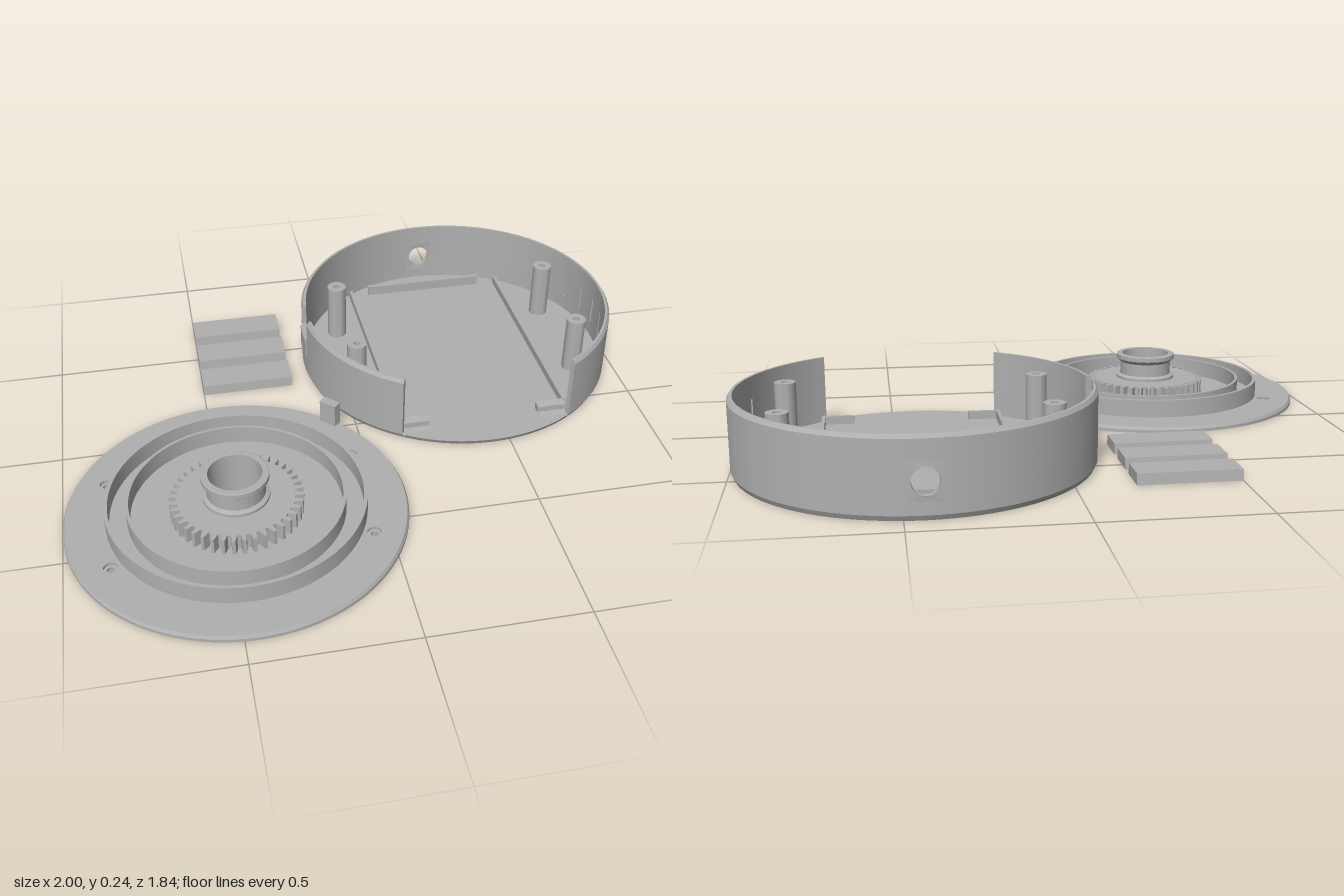
import * as THREE from 'three';
import { toCreasedNormals, mergeVertices } from 'three/addons/utils/BufferGeometryUtils.js';

const grey = new THREE.MeshStandardMaterial({ color: 0xb0b0b0 });
grey.name = 'grey plastic';

function add(parent, name, geometry, x = 0, y = 0, z = 0) {
  const mesh = new THREE.Mesh(toCreasedNormals(geometry, 0.5), grey);
  mesh.name = name;
  mesh.position.set(x, y, z);
  parent.add(mesh);
  return mesh;
}

// Move every vertex of a geometry by a rule
function warp(geometry, rule) {
  const p = geometry.attributes.position;
  for (let i = 0; i < p.count; i++) p.setXYZ(i, ...rule(p.getX(i), p.getY(i), p.getZ(i)));
  return geometry;
}

const circle = (r, x = 0, y = 0) => new THREE.Path().absarc(x, y, r, 0, Math.PI * 2, true);

// Flat plate standing on y = 0, from a plan outline drawn in (x, -z)
function plate(shape, height, curveSegments = 48) {
  const g = new THREE.ExtrudeGeometry(shape, { depth: height, bevelEnabled: false, curveSegments });
  return g.rotateX(-Math.PI / 2);
}

function disc(radius, height, holes) {
  const s = new THREE.Shape().absarc(0, 0, radius, 0, Math.PI * 2, false);
  s.holes.push(...holes);
  return plate(s, height);
}

// Pull in the rim vertices of a disc at one height to make a chamfer
function chamfer(geometry, radius, level, inset) {
  return warp(geometry, (x, y, z) => {
    const r = Math.hypot(x, z);
    const k = r > radius - 0.01 && Math.abs(y - level) < 0.001 ? (r - inset) / r : 1;
    return [x * k, y, z * k];
  });
}

// Closed (radius, height) profile swept around y between two angles (0 = +x, quarter turn = +z)
function sweep(profile, a0, a1) {
  const s = new THREE.Shape(profile.map(([r, y]) => new THREE.Vector2(r, y)));
  const steps = Math.max(1, Math.ceil((a1 - a0) / 0.065));
  const g = new THREE.ExtrudeGeometry(s, { depth: a1 - a0, steps, bevelEnabled: false });
  return warp(g, (r, y, t) => [r * Math.cos(a0 + t), y, r * Math.sin(a0 + t)]);
}

function turned(profile) {
  return new THREE.LatheGeometry(profile.map(([r, y]) => new THREE.Vector2(r, y)), 72);
}

function ring(outer, inner, height) {
  return turned([[outer, 0], [outer, height], [inner, height], [inner, 0]]);
}

const screwSpots = [[-0.402, -0.193], [0.402, -0.193], [-0.402, 0.193], [0.402, 0.193]];
const screwHoles = r => screwSpots.map(([x, z]) => circle(r, x, -z));

function makeCase() {
  const box = new THREE.Group();
  box.name = 'case';
  const R = 0.56, IN = 0.543, FLOOR = 0.016, TOP = 0.24;

  add(box, 'caseFloor', chamfer(disc(R, FLOOR, screwHoles(0.012)), R, 0, 0.008));

  const wall = (a0, a1, y0 = FLOOR, y1 = TOP) => {
    const top = y1 === TOP ? [[R, y1 - 0.012], [R - 0.008, y1]] : [[R, y1]];
    add(box, 'caseWall', sweep([[IN, y0], [R, y0], ...top, [IN, y1]], a0, a1));
  };

  // Wall runs around the back, leaving the front open
  const start = Math.PI / 2 + 0.565, end = Math.PI * 2.5 - 0.555;
  const cuts = [
    { a: Math.PI, h: 0.1, y0: 0.165, y1: TOP },
    { a: Math.PI * 1.5, h: 0.09, y0: 0.05, y1: 0.17, round: true },
    ...[-0.2, -0.1, 0, 0.1, 0.2].map(z => (
      { a: Math.PI * 2 + Math.asin(z / R), h: 0.009, y0: 0.07, y1: 0.167 })),
  ];
  let at = start;
  for (const c of cuts) {
    wall(at, c.a - c.h);
    wall(c.a - c.h, c.a + c.h, FLOOR, c.y0);
    if (c.y1 < TOP) wall(c.a - c.h, c.a + c.h, c.y1, TOP);
    if (c.round) {
      // Panel with the round cable hole, bent to the wall
      const w = c.h * R;
      const s = new THREE.Shape([[-w, c.y0], [w, c.y0], [w, c.y1], [-w, c.y1]]
        .map(p => new THREE.Vector2(...p)));
      s.holes.push(circle(0.04, 0, 0.11));
      const g = new THREE.ExtrudeGeometry(s, { depth: R - IN, bevelEnabled: false, curveSegments: 32 });
      add(box, 'cableHolePanel', warp(g, (x, y, d) => {
        const t = c.a + x / R;
        return [(R - d) * Math.cos(t), y, (R - d) * Math.sin(t)];
      }));
    }
    at = c.a + c.h;
  }
  wall(at, end);

  // Small latch bump below the notch
  add(box, 'latchBump', sweep([[R - 0.005, 0.085], [R + 0.005, 0.09], [R + 0.005, 0.16], [R - 0.005, 0.165]],
    Math.PI - 0.09, Math.PI + 0.09));

  for (const [x, z] of screwSpots) {
    add(box, 'screwPost', ring(0.034, 0.012, 0.205), x, FLOOR - 0.001, z);
  }

  // Guide rails on the floor
  for (const s of [-1, 1]) {
    add(box, 'sideRail', new THREE.BoxGeometry(0.012, 0.03, 0.86), s * 0.297 - 0.003, 0.03, -0.005);
    // Sloped catch at the open end
    const c = new THREE.Shape([[-0.48, 0], [-0.445, 0.004], [-0.445, 0.024], [-0.415, 0.028], [-0.415, 0]]
      .map(p => new THREE.Vector2(...p)));
    const g = new THREE.ExtrudeGeometry(c, { depth: 0.1, bevelEnabled: false });
    g.rotateY(Math.PI / 2);
    add(box, 'frontCatch', g, s * 0.245 - 0.053, FLOOR - 0.001, 0);
  }
  add(box, 'rearRail', new THREE.BoxGeometry(0.45, 0.038, 0.016), -0.003, 0.034, -0.443);

  box.position.set(0.44, 0, -0.365);
  return box;
}

function makeLid() {
  const lid = new THREE.Group();
  lid.name = 'lid';
  const R = 0.543, BASE = 0.02, BORE = 0.085;

  // Two layers give the screw holes their wider heads
  add(lid, 'lidLower', disc(R, 0.01, [circle(BORE), ...screwHoles(0.012)]));
  add(lid, 'lidUpper', chamfer(disc(R, 0.01, [circle(BORE), ...screwHoles(0.022)]), R, 0.01, 0.006), 0, 0.01, 0);

  add(lid, 'outerRing', ring(0.412, 0.4, 0.061), 0, BASE - 0.001, 0);
  add(lid, 'innerRing', ring(0.345, 0.335, 0.061), 0, BASE - 0.001, 0);

  // Toothed gear
  const pts = [], teeth = 40;
  for (let i = 0; i < teeth; i++) {
    for (const [f, r] of [[-0.32, 0.186], [-0.16, 0.212], [0.16, 0.212], [0.32, 0.186]]) {
      const a = (i + f) / teeth * Math.PI * 2;
      pts.push(new THREE.Vector2(r * Math.cos(a), r * Math.sin(a)));
    }
  }
  const gear = new THREE.Shape(pts);
  gear.holes.push(circle(BORE));
  add(lid, 'gear', plate(gear, 0.055), 0, BASE - 0.001, 0);

  // Hollow hub with a flared lip
  add(lid, 'hub', turned([[0.106, 0.07], [0.106, 0.084], [0.093, 0.09], [0.093, 0.135], [0.107, 0.148],
    [0.107, 0.163], [0.104, 0.165], [BORE, 0.165], [BORE, 0.07]]));

  // Upright clip at the rim
  const clip = add(lid, 'rimClip', new THREE.BoxGeometry(0.032, 0.085, 0.062), 0.367, BASE + 0.04, -0.383);
  clip.rotation.y = Math.PI / 4;

  lid.position.set(-0.456, 0, 0.374);
  return lid;
}

export function createModel() {
  const model = new THREE.Group();
  model.name = 'roundCaseKit';
  model.add(makeCase(), makeLid());

  // Three loose bars with slightly tapered long sides
  for (const z of [-0.65, -0.49, -0.33]) {
    const g = warp(new THREE.BoxGeometry(0.32, 0.035, 0.116),
      (x, y, d) => [x, y, y > 0 ? d * 0.93 : d]);
    add(model, 'looseBar', g, -0.34, 0.0175, z);
  }
  return model;
}
